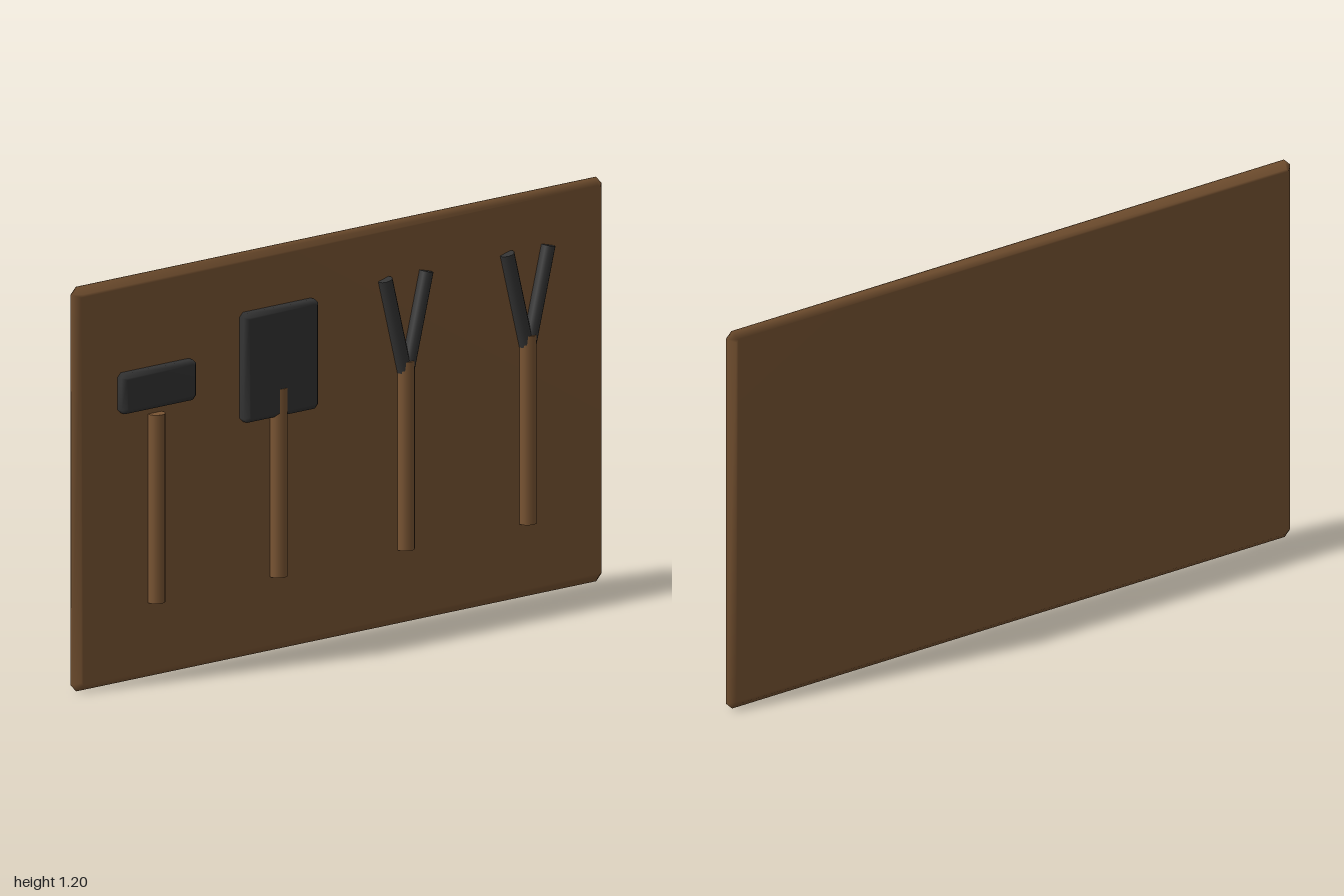
import * as THREE from 'three';
import { mergeVertices } from 'three/addons/utils/BufferGeometryUtils.js';

const wood = new THREE.MeshStandardMaterial({ name: 'brownWood', color: 0x7a5533 });
const iron = new THREE.MeshStandardMaterial({ name: 'darkIron', color: 0x343434 });

// Box with a single 45 degree chamfer on every edge, softly shaded
function chamferBox(w, h, d, c) {
  const x = w / 2 - c, y = h / 2 - c, k = c * 0.41;
  const shape = new THREE.Shape([
    [x, -y + k], [x, y - k], [x - k, y], [-x + k, y],
    [-x, y - k], [-x, -y + k], [-x + k, -y], [x - k, -y],
  ].map(([px, py]) => new THREE.Vector2(px, py)));
  const geo = new THREE.ExtrudeGeometry(shape, {
    depth: d - 2 * c, bevelEnabled: true, bevelSize: c, bevelThickness: c, bevelSegments: 1,
  });
  geo.center();
  geo.deleteAttribute('normal');
  geo.deleteAttribute('uv');
  const merged = mergeVertices(geo, 1e-4);
  merged.computeVertexNormals();
  return merged;
}

export function createModel() {
  const model = new THREE.Group();
  model.name = 'toolBoard';
  const toolZ = 0.013;

  const add = (parent, name, geo, mat, x, y, z, tilt = 0) => {
    const mesh = new THREE.Mesh(geo, mat);
    mesh.name = name;
    mesh.position.set(x, y, z);
    mesh.rotation.z = tilt;
    parent.add(mesh);
  };

  // Backing board
  add(model, 'board', chamferBox(2, 1.2, 0.044, 0.02), wood, 0, 0.6, -0.016);

  const handleGeo = new THREE.CylinderGeometry(0.027, 0.027, 0.56, 12);
  const prongGeo = new THREE.CylinderGeometry(0.022, 0.022, 0.305, 12);

  // Each tool has the same handle and its own head
  const tool = (name, x) => {
    const group = new THREE.Group();
    group.name = name;
    group.position.set(x, 0, toolZ);
    add(group, 'handle', handleGeo, wood, 0, 0.505, 0);
    model.add(group);
    return group;
  };

  add(tool('hammer', -0.703), 'hammerHead', chamferBox(0.28, 0.12, 0.046, 0.012), iron, 0, 0.865, 0);
  add(tool('spade', -0.242), 'spadeBlade', chamferBox(0.28, 0.325, 0.046, 0.012), iron, 0, 0.865, 0);

  // Forks with two splayed prongs
  for (const [name, x] of [['firstFork', 0.238], ['secondFork', 0.698]]) {
    const fork = tool(name, x);
    for (const s of [-1, 1]) {
      add(fork, s < 0 ? 'rightProng' : 'leftProng', prongGeo, iron, s * 0.04, 0.89, 0, -s * 0.25);
    }
  }
  return model;
}
